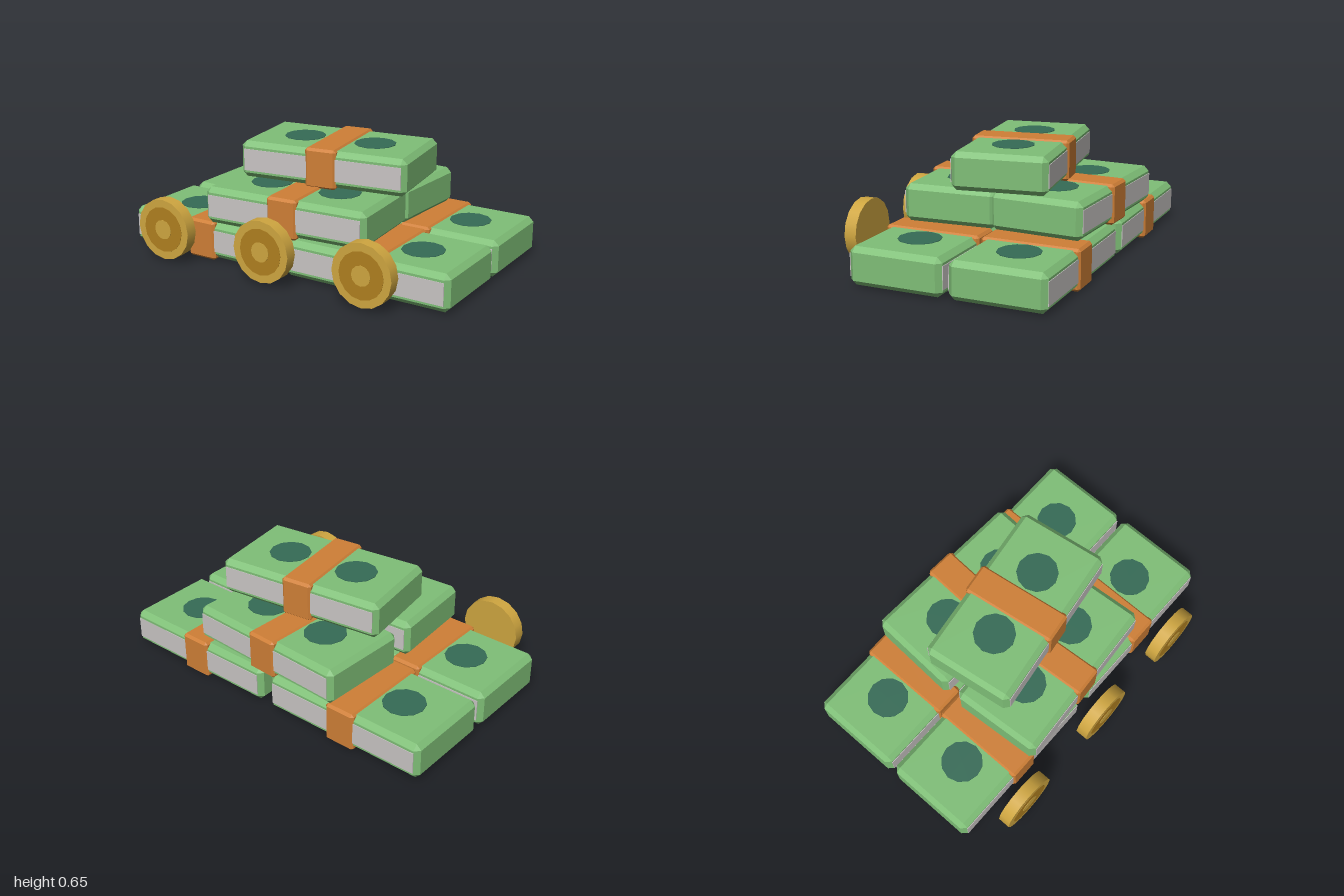
import * as THREE from 'three';
import { ConvexGeometry } from 'three/addons/geometries/ConvexGeometry.js';

const mat = (name, color, extra = {}) => {
  const m = new THREE.MeshStandardMaterial({ color, ...extra });
  m.name = name;
  return m;
};

// Box with every edge cut at an angle
function chamferBox(w, h, d, c) {
  const pts = [];
  for (const sx of [-1, 1]) for (const sy of [-1, 1]) for (const sz of [-1, 1]) {
    const x = w / 2, y = h / 2, z = d / 2;
    pts.push(new THREE.Vector3(sx * x, sy * (y - c), sz * (z - c)));
    pts.push(new THREE.Vector3(sx * (x - c), sy * y, sz * (z - c)));
    pts.push(new THREE.Vector3(sx * (x - c), sy * (y - c), sz * z));
  }
  return new ConvexGeometry(pts);
}

export function createModel() {
  const green = mat('noteGreen', 0x7fbf77);
  const teal = mat('darkTeal', 0x356b56);
  const paper = mat('paperGrey', 0xc9c5c4);
  const orange = mat('bandOrange', 0xcf7f36);
  const gold = mat('gold', 0xcfa640);
  const darkGold = mat('darkGold', 0xb08020);

  const model = new THREE.Group();
  model.name = 'cashPile';
  const add = (parent, name, geo, m, x = 0, y = 0, z = 0) => {
    const mesh = new THREE.Mesh(geo, m);
    mesh.name = name;
    mesh.position.set(x, y, z);
    parent.add(mesh);
    return mesh;
  };

  // Shared bundle parts
  const bodyGeo = chamferBox(0.97, 0.204, 0.52, 0.028);
  const paperGeo = new THREE.BoxGeometry(0.92, 0.122, 0.004);
  const bandGeo = chamferBox(0.18, 0.222, 0.544, 0.014);
  const dotGeo = new THREE.CylinderGeometry(0.115, 0.115, 0.004, 12);

  function bundle(name, x, y, z, turn) {
    const g = new THREE.Group();
    g.name = name;
    g.position.set(x, y, z);
    g.rotation.y = turn;
    add(g, 'noteStack', bodyGeo, green);
    add(g, 'band', bandGeo, orange);
    for (const s of [-1, 1]) {
      add(g, 'paperEdge', paperGeo, paper, 0, 0, s * 0.2615);
      add(g, 'noteSeal', dotGeo, teal, s * 0.21, 0.103, 0);
    }
    model.add(g);
  }

  // Bottom layer of four, middle pair, one on top
  for (const s of [-1, 1]) {
    bundle('bottomFrontBundle', s * 0.515, 0.113, 0.205, 0);
    bundle('bottomBackBundle', s * 0.515, 0.113, -0.35, 0);
  }
  bundle('middleFrontBundle', 0, 0.326, 0.2, 0.07);
  bundle('middleBackBundle', 0, 0.326, -0.347, -0.05);
  bundle('topBundle', 0.046, 0.538, -0.073, 0.14);

  // Coins standing on edge, with inlaid rings on the front
  for (const x of [-0.652, -0.002, 0.604]) {
    const coin = new THREE.Group();
    coin.name = 'coin';
    coin.position.set(x, 0.187, 0.594);
    coin.rotation.x = Math.PI / 2;
    add(coin, 'coinBody', new THREE.CylinderGeometry(0.171, 0.171, 0.068, 16), gold);
    add(coin, 'coinInlay', new THREE.CylinderGeometry(0.128, 0.128, 0.003, 16), darkGold, 0, 0.0345, 0);
    add(coin, 'coinCentre', new THREE.CylinderGeometry(0.055, 0.055, 0.003, 12), gold, 0, 0.0365, 0);
    model.add(coin);
  }
  return model;
}
